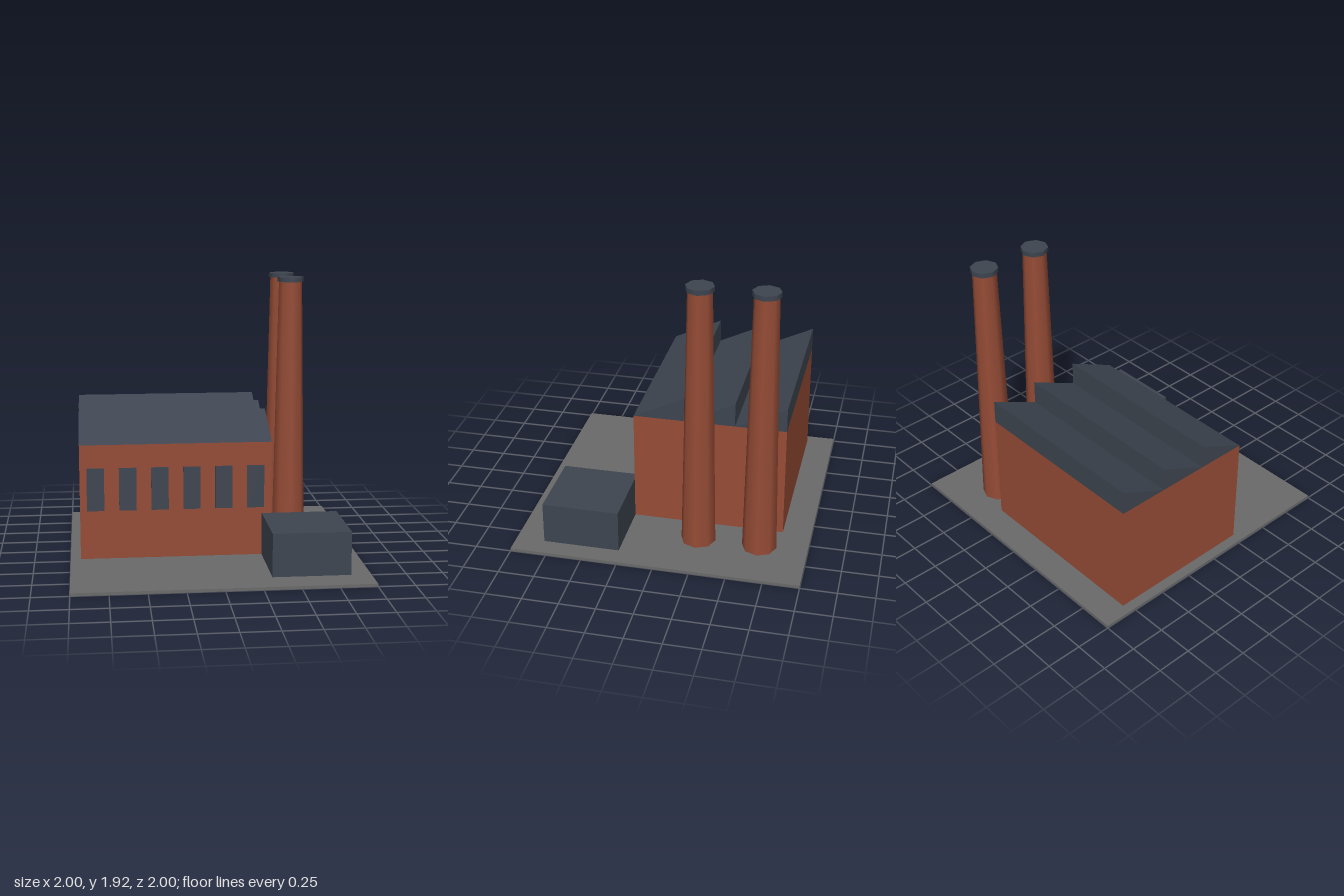
import * as THREE from 'three';

export function createModel() {
  const model = new THREE.Group();
  model.name = 'factory';

  const material = (name, color) => {
    const m = new THREE.MeshStandardMaterial({ color });
    m.name = name;
    return m;
  };
  const brick = material('brick', 0x964c36);
  const slate = material('slate', 0x3e4550);
  const concrete = material('concrete', 0x6a6a6a);

  const add = (name, geometry, mat, x = 0, y = 0, z = 0) => {
    const mesh = new THREE.Mesh(geometry, mat);
    mesh.name = name;
    mesh.position.set(x, y, z);
    model.add(mesh);
    return mesh;
  };
  // Box given by its lower and upper corners
  const block = (name, mat, [x0, y0, z0], [x1, y1, z1]) =>
    add(name, new THREE.BoxGeometry(x1 - x0, y1 - y0, z1 - z0), mat,
      (x0 + x1) / 2, (y0 + y1) / 2, (z0 + z1) / 2);

  const ground = 0.02, left = -0.93, right = 0.4, front = 0.267, back = -0.8, eaves = 0.825;

  block('ground', concrete, [-1, 0, -1], [1, ground, 1]);
  block('hall', brick, [left, ground, back], [right, eaves, front]);
  block('annex', slate, [0.333, ground, front], [0.863, 0.317, 0.8]);

  // Sawtooth roof: three wedges sloping up towards the back
  const bay = (front - back) / 3;
  const wedge = new THREE.Shape();
  wedge.moveTo(0, 0);
  wedge.lineTo(bay, 0);
  wedge.lineTo(bay, 0.17);
  wedge.closePath();
  const wedgeGeometry = new THREE.ExtrudeGeometry(wedge, { depth: right - left, bevelEnabled: false });
  wedgeGeometry.rotateY(Math.PI / 2); // profile runs towards -z, length along +x
  for (let i = 0; i < 3; i++) {
    add('roofBay' + (i + 1), wedgeGeometry, slate, left, eaves, front - i * bay);
  }

  // Row of front windows
  const windowGeometry = new THREE.BoxGeometry(0.12, 0.3, 0.009);
  for (let i = 0; i < 6; i++) {
    add('window' + (i + 1), windowGeometry, slate, -0.822 + i * 0.222, 0.512, front + 0.0045);
  }

  // Two tapered eight-sided chimneys with caps
  const stackHeight = 1.89 - ground;
  const stackGeometry = new THREE.CylinderGeometry(0.084, 0.12, stackHeight, 8);
  const capGeometry = new THREE.CylinderGeometry(0.096, 0.096, 0.033, 8);
  [-0.237, -0.665].forEach((z, i) => {
    add('chimney' + (i + 1), stackGeometry, brick, 0.6, ground + stackHeight / 2, z);
    add('chimneyCap' + (i + 1), capGeometry, slate, 0.6, 1.907, z);
  });

  return model;
}
